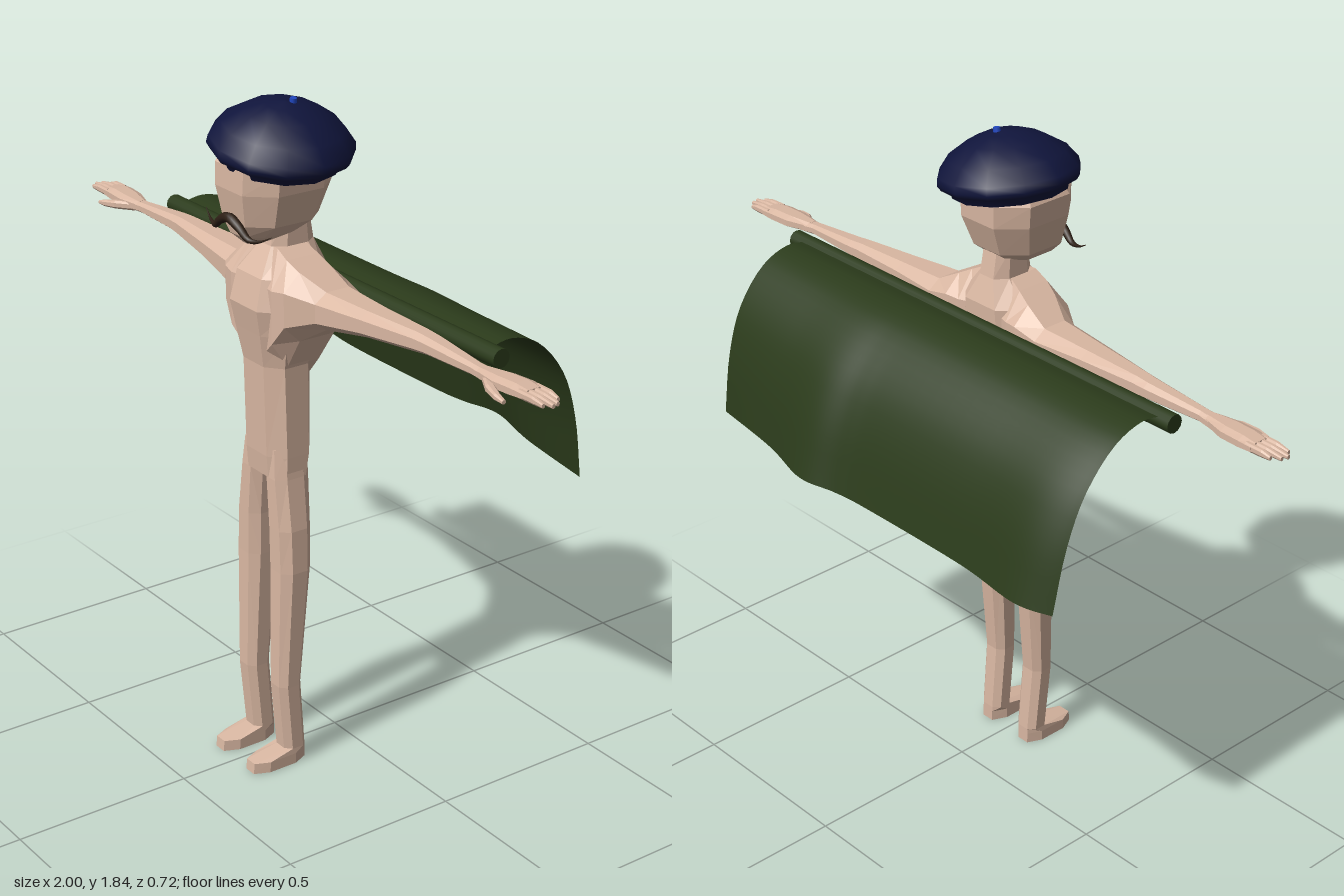
import * as THREE from 'three';

const skin = new THREE.MeshStandardMaterial({ color: 0xd9b7a2, flatShading: true });
const navy = new THREE.MeshStandardMaterial({ color: 0x10153c, side: THREE.DoubleSide });
const blue = new THREE.MeshStandardMaterial({ color: 0x1f46c0 });
const green = new THREE.MeshStandardMaterial({ color: 0x2b3b1b, side: THREE.DoubleSide });
const brown = new THREE.MeshStandardMaterial({ color: 0x2e2016 });

// Corners of a chamfered square, used as the cross-section of every body part
const C = 0.5;
const OCT = [[1, -C], [1, C], [C, 1], [-C, 1], [-1, C], [-1, -C], [-C, -1], [C, -1]];

// Skin rings of points together and close both ends
function skinRings(rings, flip = false) {
  const n = rings[0].length, pos = rings.flat(), idx = [];
  const tri = (a, b, c) => idx.push(...(flip ? [a, c, b] : [a, b, c]));
  for (let i = 0; i < rings.length - 1; i++)
    for (let j = 0; j < n; j++) {
      const a = i * n + j, b = i * n + (j + 1) % n;
      tri(a, b, b + n);
      tri(a, b + n, a + n);
    }
  const last = (rings.length - 1) * n;
  for (let j = 1; j < n - 1; j++) {
    tri(0, j + 1, j);
    tri(last, last + j, last + j + 1);
  }
  const g = new THREE.BufferGeometry().setFromPoints(pos);
  g.setIndex(idx);
  g.computeVertexNormals();
  return g;
}

// Sections along y: [y, xMin, xMax, zMin, zMax]; along x: [x, yMin, yMax, zMin, zMax]
function loft(axis, sections, side = 1) {
  const rings = sections.map(([t, a0, a1, z0, z1]) => OCT.map(([u, v]) => {
    const a = (a0 + a1) / 2 + u * (a1 - a0) / 2;
    const z = (z0 + z1) / 2 + (axis === 'y' ? -v : v) * (z1 - z0) / 2;
    return axis === 'y' ? new THREE.Vector3(a * side, t, z) : new THREE.Vector3(t * side, a, z);
  }));
  const g = skinRings(rings, side < 0).toNonIndexed();
  g.computeVertexNormals();
  return g;
}

export function createModel() {
  const model = new THREE.Group();
  const add = (name, geometry, material, parent = model) => {
    const mesh = new THREE.Mesh(geometry, material);
    mesh.name = name;
    parent.add(mesh);
    return mesh;
  };
  const sym = ([y, w, z0, z1]) => [y, -w, w, z0, z1];

  // Torso and neck
  add('torso', loft('y', [
    [0.84, 0.092, 0.13, 0.245], [0.9, 0.092, 0.115, 0.25], [1.15, 0.09, 0.113, 0.256],
    [1.24, 0.11, 0.09, 0.272], [1.31, 0.12, 0.065, 0.285], [1.39, 0.11, 0.062, 0.265],
    [1.46, 0.05, 0.085, 0.215], [1.54, 0.048, 0.098, 0.2],
  ].map(sym)), skin);

  // Head
  add('head', loft('y', [
    [1.475, 0.022, 0.2, 0.275], [1.5, 0.06, 0.13, 0.3], [1.535, 0.098, 0.085, 0.308],
    [1.62, 0.12, 0.052, 0.322], [1.68, 0.125, 0.05, 0.32], [1.73, 0.1, 0.08, 0.28],
  ].map(sym)), skin);

  for (const side of [1, -1]) {
    const label = side > 0 ? 'left' : 'right';

    // Leg with its foot
    add(label + 'Leg', loft('y', [
      [0, 0.037, 0.11, 0.168, 0.335], [0.03, 0.037, 0.11, 0.168, 0.332],
      [0.046, 0.037, 0.109, 0.168, 0.235], [0.24, 0.037, 0.112, 0.182, 0.252],
      [0.58, 0.028, 0.122, 0.152, 0.246], [0.7, 0.026, 0.116, 0.148, 0.246],
      [0.84, 0.018, 0.094, 0.14, 0.245], [0.92, 0.01, 0.085, 0.14, 0.24],
    ], side), skin);

    // Shoulder and arm
    const arm = new THREE.Group();
    arm.name = label + 'Arm';
    model.add(arm);
    add('armSleeve', loft('x', [
      [0.0, 1.08, 1.46, 0.08, 0.25], [0.05, 1.1, 1.46, 0.08, 0.255], [0.09, 1.155, 1.44, 0.068, 0.26],
      [0.13, 1.235, 1.418, 0.06, 0.25], [0.2, 1.28, 1.38, 0.065, 0.205], [0.35, 1.305, 1.374, 0.078, 0.18],
      [0.52, 1.318, 1.37, 0.086, 0.152], [0.56, 1.322, 1.367, 0.086, 0.148],
      [0.73, 1.325, 1.354, 0.1, 0.138], [0.78, 1.322, 1.35, 0.093, 0.14],
    ], side), skin, arm).name = 'armLimb';

    // Hand, four fingers and a thumb
    add('palm', loft('x', [
      [0.75, 1.325, 1.353, 0.1, 0.138], [0.82, 1.322, 1.356, 0.078, 0.15],
      [0.88, 1.324, 1.357, 0.073, 0.147], [0.92, 1.328, 1.352, 0.074, 0.142],
    ], side), skin, arm);
    [0.975, 0.995, 1, 0.985].forEach((tip, i) => {
      const z = 0.075 + i * 0.0175;
      add('finger', loft('x', [
        [0.9, 1.33, 1.352, z, z + 0.0155], [0.95, 1.331, 1.351, z, z + 0.0145],
        [tip, 1.332, 1.343, z + 0.003, z + 0.012],
      ], side), skin, arm);
    });
    add('thumb', loft('x', [
      [0.77, 1.322, 1.346, 0.115, 0.138], [0.82, 1.32, 1.343, 0.142, 0.168],
      [0.86, 1.318, 1.336, 0.158, 0.177], [0.89, 1.318, 1.328, 0.165, 0.176],
    ], side), skin, arm);
  }

  // Moustache: a tube that thins towards its curled tips
  const path = new THREE.CatmullRomCurve3([
    [-0.145, 1.532, 0.295], [-0.11, 1.514, 0.305], [-0.075, 1.51, 0.314], [-0.04, 1.535, 0.32], [0, 1.55, 0.322],
    [0.04, 1.535, 0.32], [0.075, 1.51, 0.314], [0.11, 1.514, 0.305], [0.145, 1.532, 0.295],
  ].map(p => new THREE.Vector3(...p)));
  const hairs = [];
  for (let i = 0; i <= 32; i++) {
    const p = path.getPoint(i / 32), t = path.getTangent(i / 32);
    const up = new THREE.Vector3(-t.y, t.x, 0).normalize();
    const out = new THREE.Vector3().crossVectors(t, up);
    const r = 0.001 + 0.012 * Math.sin(Math.PI * i / 32) ** 1.6;
    hairs.push(Array.from({ length: 8 }, (_, j) => {
      const a = j * Math.PI / 4;
      return p.clone().addScaledVector(up, r * Math.cos(a)).addScaledVector(out, r * Math.sin(a));
    }));
  }
  add('moustache', skinRings(hairs), brown);

  // Beret, tipped towards the left ear, with a small stalk
  const beret = new THREE.Group();
  beret.name = 'beret';
  beret.position.set(0.006, 1.67, 0.172);
  beret.rotation.z = -0.16;
  model.add(beret);
  const profile = [[0.135, 0.02], [0.14, 0], [0.152, 0.004], [0.156, 0.026], [0.178, 0.028], [0.187, 0.042],
    [0.184, 0.062], [0.155, 0.1], [0.1, 0.136], [0.05, 0.155], [0, 0.162]];
  add('beretCap', new THREE.LatheGeometry(profile.map(p => new THREE.Vector2(...p)), 12), navy, beret);
  add('beretStalk', new THREE.CylinderGeometry(0.009, 0.011, 0.02, 8), blue, beret).position.set(0.008, 0.16, -0.018);

  // Rod lying behind the shoulders
  const rod = add('rod', new THREE.CylinderGeometry(0.025, 0.025, 1.43, 12), green);
  rod.rotation.z = Math.PI / 2;
  rod.position.set(0, 1.34, 0.034);

  // Cape: one falling curve swept along the rod, its hem waving in z
  const fall = new THREE.CatmullRomCurve3([
    [1.35, 0.03], [1.36, -0.04], [1.33, -0.13], [1.235, -0.225], [1.11, -0.285], [0.935, -0.33],
  ].map(([y, z]) => new THREE.Vector3(0, y, z)));
  const hem = new THREE.SplineCurve([
    [-0.68, -0.325], [-0.57, -0.352], [-0.36, -0.332], [0, -0.33], [0.12, -0.338],
    [0.24, -0.358], [0.42, -0.312], [0.665, -0.275],
  ].map(p => new THREE.Vector2(...p)));
  const NX = 48, NY = 20;
  const cloth = new THREE.PlaneGeometry(1, 1, NX, NY);
  for (let j = 0; j <= NY; j++)
    for (let i = 0; i <= NX; i++) {
      const h = hem.getPoint(i / NX), f = fall.getPoint(j / NY), t = j / NY;
      cloth.attributes.position.setXYZ(j * (NX + 1) + i, h.x, f.y - 0.1 * t * (h.y + 0.33) * h.x, f.z + (h.y + 0.33) * t * t);
    }
  cloth.computeVertexNormals();
  add('cape', cloth, green);

  return model;
}
